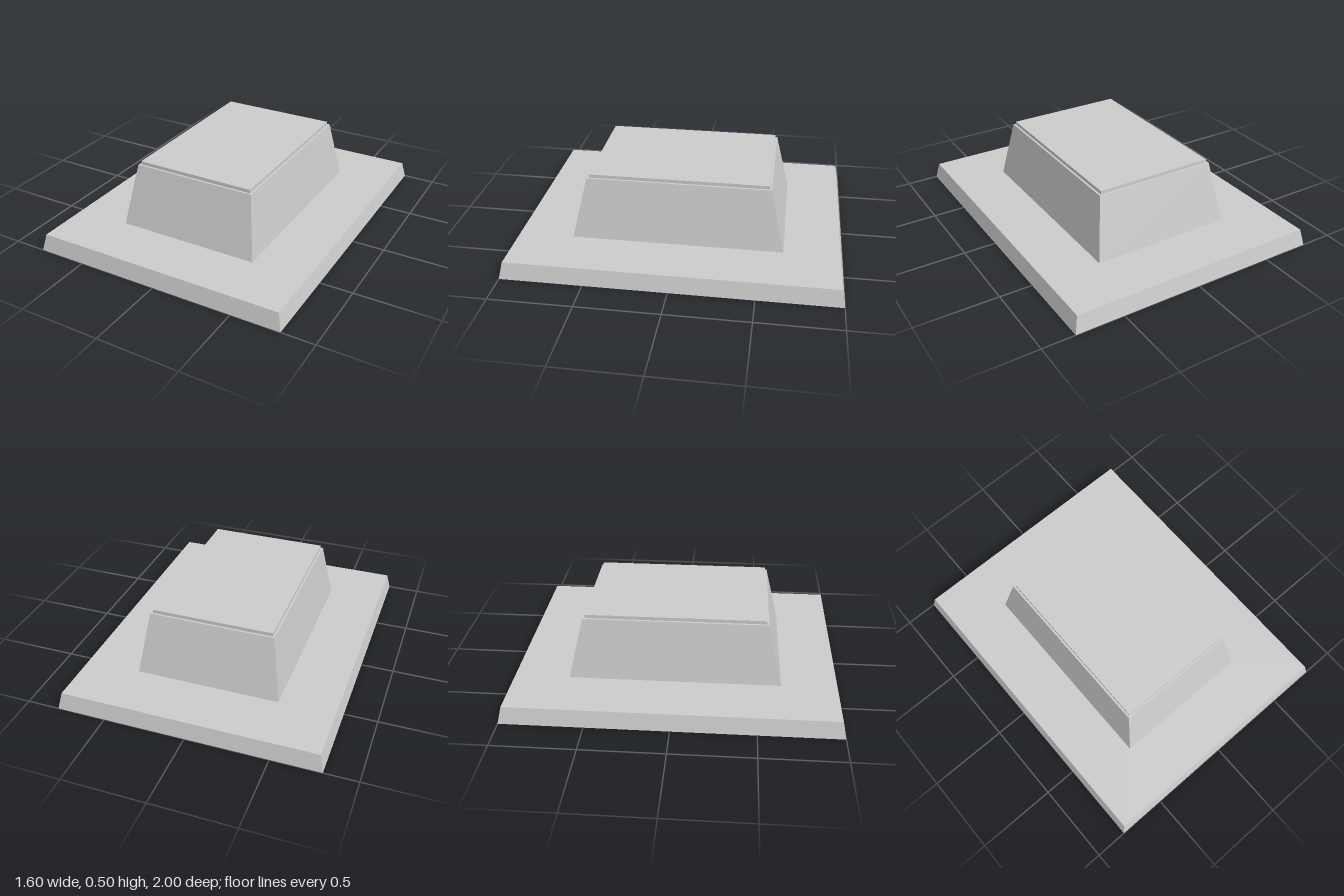
import * as THREE from 'three';

const material = new THREE.MeshStandardMaterial({ color: 0xcccccc, flatShading: true, side: THREE.DoubleSide });

// Four corners of a rectangle [halfWidth, halfDepth, y], counterclockwise from above
const corners = ([w, d, y]) => [[w, y, d], [w, y, -d], [-w, y, -d], [-w, y, d]];

// Four-sided band of quads joining one rectangle to the next
function band(name, from, to) {
  const a = corners(from), b = corners(to), points = [];
  for (let i = 0; i < 4; i++) {
    const j = (i + 1) % 4;
    points.push(...a[i], ...a[j], ...b[j], ...a[i], ...b[j], ...b[i]);
  }
  const geometry = new THREE.BufferGeometry();
  geometry.setAttribute('position', new THREE.Float32BufferAttribute(points, 3));
  geometry.computeVertexNormals();
  const mesh = new THREE.Mesh(geometry, material);
  mesh.name = name;
  return mesh;
}

export function createModel() {
  const group = new THREE.Group();
  group.name = 'hollowPlinth';

  // Rectangles of the open-bottomed shell, from the ground up
  const rings = [
    [0.8, 1.0, 0],
    [0.778, 0.978, 0.104],
    [0.441, 0.641, 0.104],
    [0.381, 0.553, 0.482],
    [0.368, 0.54, 0.482],
    [0.368, 0.54, 0.503],
  ];
  const names = ['baseRim', 'baseTop', 'slopedWalls', 'topLedge', 'topPanelEdge'];
  names.forEach((name, i) => group.add(band(name, rings[i], rings[i + 1])));

  // Flat panel closing the top
  const [w, d, y] = rings[rings.length - 1];
  const panel = new THREE.Mesh(new THREE.PlaneGeometry(2 * w, 2 * d).rotateX(-Math.PI / 2), material);
  panel.name = 'topPanel';
  panel.position.y = y;
  group.add(panel);

  return group;
}
